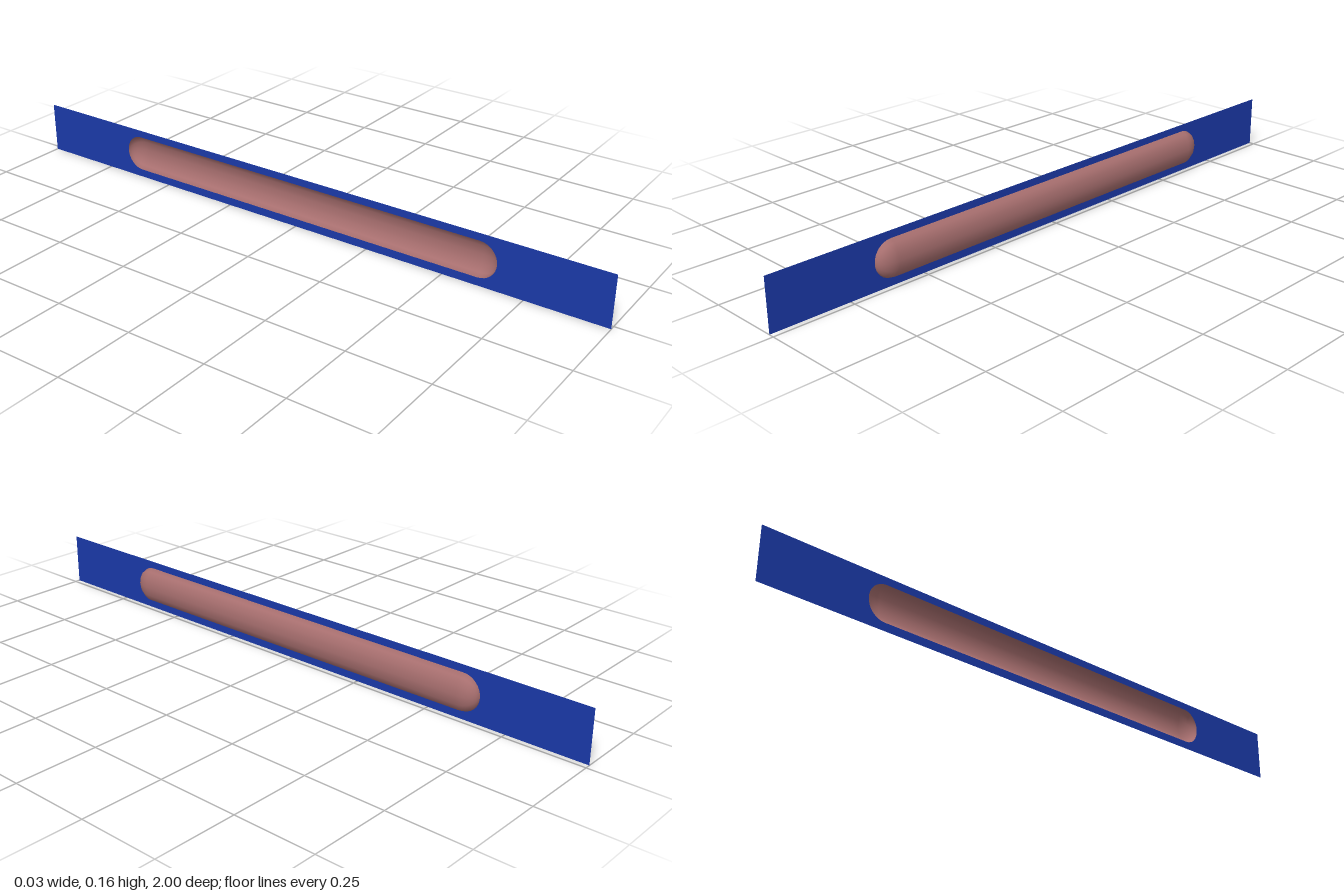
import * as THREE from 'three';

const LENGTH = 2, HEIGHT = 0.161;          // flat strip
const RADIUS = 0.0565, DEPTH = 0.033;      // bulge half height and depth
const STRAIGHT = 0.61;                     // half length of the straight run
const SHEET_X = -DEPTH / 2, CENTRE_Y = 0.0815;
const CAP_STEPS = 8;

// Rounded-end outline of one side of the bulge: (radius, distance along the strip)
function capsuleProfile() {
  const points = [];
  for (const end of [-1, 1]) {
    for (let i = 0; i <= CAP_STEPS; i++) {
      const t = (end < 0 ? i : CAP_STEPS - i) / CAP_STEPS * Math.PI / 2;
      points.push(new THREE.Vector2(RADIUS * Math.sin(t), end * (STRAIGHT + RADIUS * Math.cos(t))));
    }
  }
  return points;
}

function makeMesh(name, geometry, color) {
  const material = new THREE.MeshStandardMaterial({ color, side: THREE.DoubleSide });
  const mesh = new THREE.Mesh(geometry, material);
  mesh.name = name;
  return mesh;
}

export function createModel() {
  const group = new THREE.Group();
  group.name = 'stripWithBulge';
  const profile = capsuleProfile();

  // Flat strip with a slot cut out behind the bulge
  const shape = new THREE.Shape([
    new THREE.Vector2(-LENGTH / 2, 0),
    new THREE.Vector2(LENGTH / 2, 0),
    new THREE.Vector2(LENGTH / 2, HEIGHT),
    new THREE.Vector2(-LENGTH / 2, HEIGHT),
  ]);
  const lower = profile.map(p => new THREE.Vector2(p.y, CENTRE_Y - p.x));
  const upper = profile.slice(1, -1).reverse().map(p => new THREE.Vector2(p.y, CENTRE_Y + p.x));
  shape.holes.push(new THREE.Path([...lower, ...upper]));
  const sheet = new THREE.ShapeGeometry(shape);
  sheet.rotateY(Math.PI / 2);
  sheet.translate(SHEET_X, 0, 0);
  group.add(makeMesh('flatStrip', sheet, 0x1a39a8));

  // Hollow half capsule, flattened in depth and open at the back
  const shell = new THREE.LatheGeometry(profile, 6, 0, Math.PI);
  shell.rotateX(Math.PI / 2);
  shell.scale(DEPTH / RADIUS, 1, 1);
  shell.translate(SHEET_X, CENTRE_Y, 0);
  group.add(makeMesh('bulgeShell', shell, 0xa86f6f));

  return group;
}
